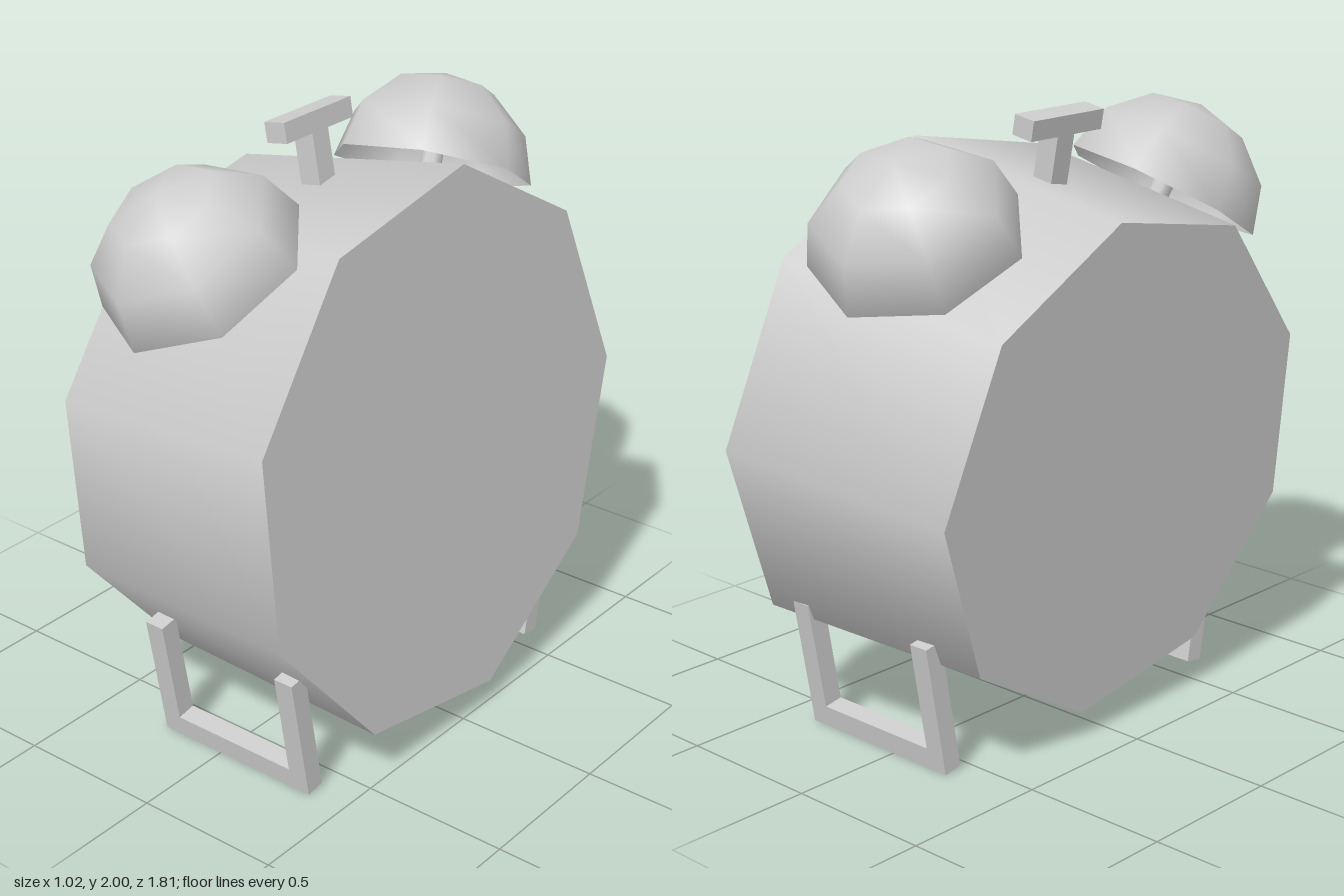
import * as THREE from 'three';

const MID_Z = 0.02; // the two bells and two feet mirror about this plane

export function createModel() {
  const clock = new THREE.Group();
  clock.name = 'alarmClock';
  const grey = new THREE.MeshStandardMaterial({ color: 0xcccccc, side: THREE.DoubleSide });
  grey.name = 'plainGrey';

  const add = (parent, name, geometry, x = 0, y = 0, z = 0) => {
    const mesh = new THREE.Mesh(geometry, grey);
    mesh.name = name;
    mesh.position.set(x, y, z);
    parent.add(mesh);
    return mesh;
  };
  const addGroup = (name, x, y, z) => {
    const group = new THREE.Group();
    group.name = name;
    group.position.set(x, y, z);
    clock.add(group);
    return group;
  };

  // Tapered nine-sided case, lying on its side and leaning back
  const body = add(clock, 'case',
    new THREE.CylinderGeometry(0.915, 0.831, 0.873, 9, 1, false, Math.PI), -0.005, 0.944, 0.023);
  body.rotation.z = THREE.MathUtils.degToRad(-84.9);

  for (const side of [1, -1]) {
    const end = side > 0 ? 'front' : 'back';

    // Hollow bell on a short post, tipped outwards
    const bell = addGroup(end + 'Bell', -0.075, 1.655, MID_Z + side * 0.56);
    const up = new THREE.Vector3(-0.16, 0.87, side * 0.47).normalize();
    const across = up.clone().cross(new THREE.Vector3(-0.03, -0.47, side * 0.88)).normalize();
    const out = across.clone().cross(up);
    bell.quaternion.setFromRotationMatrix(new THREE.Matrix4().makeBasis(across, up, out));
    const dome = new THREE.SphereGeometry(0.343, 7, 3, Math.PI / 2, Math.PI * 2, 0, Math.PI / 2);
    add(bell, end + 'BellDome', dome).scale.y = 0.92;
    add(bell, end + 'BellPost', new THREE.CylinderGeometry(0.037, 0.037, 0.46, 8), 0, 0.05, 0);

    // U-shaped foot splayed outwards
    const foot = addGroup(end + 'Foot', 0.0675, 0.006, MID_Z + side * 0.597);
    foot.rotation.x = side * THREE.MathUtils.degToRad(10);
    add(foot, end + 'FootBar', new THREE.BoxGeometry(0.465, 0.075, 0.066), 0, 0.0375, 0);
    for (const x of [-0.2675, 0.2675])
      add(foot, end + 'FootPost', new THREE.BoxGeometry(0.07, 0.45, 0.066), x, 0.225, 0);
  }

  // T-shaped button on top
  const button = addGroup('topButton', -0.129, 1.961, MID_Z);
  button.rotation.z = THREE.MathUtils.degToRad(10.3);
  add(button, 'buttonBar', new THREE.BoxGeometry(0.08, 0.066, 0.322));
  add(button, 'buttonStem', new THREE.BoxGeometry(0.076, 0.22, 0.076), 0, -0.143, 0);

  return clock;
}
